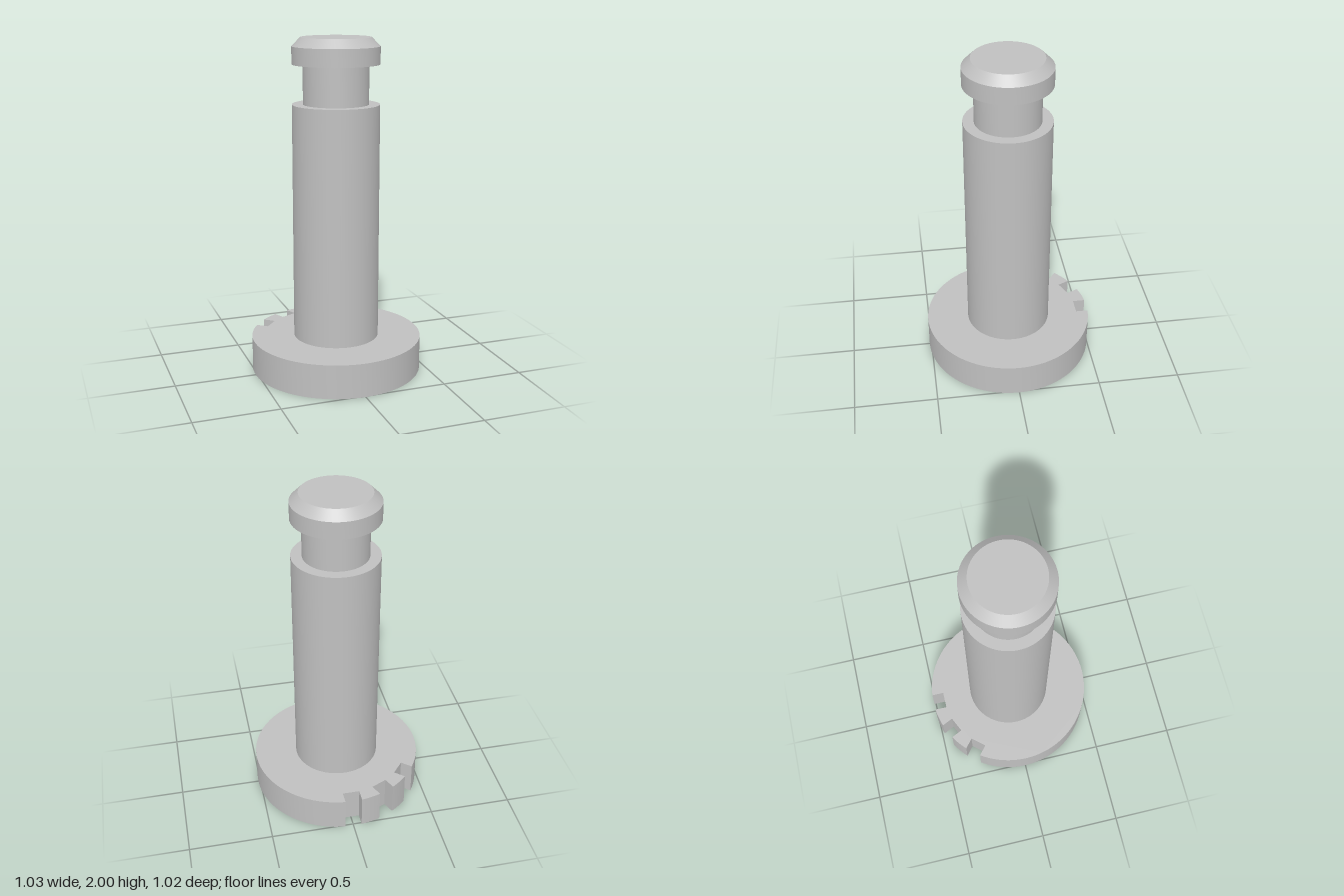
import * as THREE from 'three';
import { toCreasedNormals } from 'three/addons/utils/BufferGeometryUtils.js';

const U = 2 / 39; // design unit: the pin is 39 units long

export function createModel() {
  const model = new THREE.Group();
  const steel = new THREE.MeshStandardMaterial({ color: 0xc0c0c0 });
  steel.name = 'grey steel';

  const add = (name, geometry) => {
    const mesh = new THREE.Mesh(toCreasedNormals(geometry, 0.5), steel);
    mesh.name = name;
    model.add(mesh);
    return mesh;
  };

  // Turned parts, from [radius, height] profiles in design units
  const turned = (name, profile) => add(name, new THREE.LatheGeometry(
    profile.map(([r, y]) => new THREE.Vector2(r * U, y * U)), 96));

  turned('shaft', [[5, 4], [5, 31.5], [3.75, 31.5]]);
  turned('neck', [[3.75, 31.5], [3.75, 36]]);
  turned('chamferedHead', [[3.75, 36], [5, 36], [5, 38], [4, 39], [0, 39]]);

  // Base flange with three square notches in the rim, 25 degrees apart
  const R = 10 * U, floor = 8.5 * U, half = U;
  const rimAngle = Math.asin(half / R);
  const notchAngles = [0, 1, 2].map((i) => Math.PI / 2 + i * 25 * Math.PI / 180);
  const outline = new THREE.Shape();
  notchAngles.forEach((a, i) => {
    const corner = (side) => [
      floor * Math.cos(a) - side * half * Math.sin(a),
      floor * Math.sin(a) + side * half * Math.cos(a),
    ];
    if (i === 0) outline.moveTo(R * Math.cos(a - rimAngle), R * Math.sin(a - rimAngle));
    outline.lineTo(...corner(-1));
    outline.lineTo(...corner(1));
    const next = i < 2 ? notchAngles[i + 1] : notchAngles[0] + 2 * Math.PI;
    outline.absarc(0, 0, R, a + rimAngle, next - rimAngle, false);
  });
  const flange = new THREE.ExtrudeGeometry(outline, {
    depth: 4 * U, bevelEnabled: false, curveSegments: 48,
  });
  flange.rotateX(-Math.PI / 2);
  add('notchedFlange', flange);

  return model;
}
